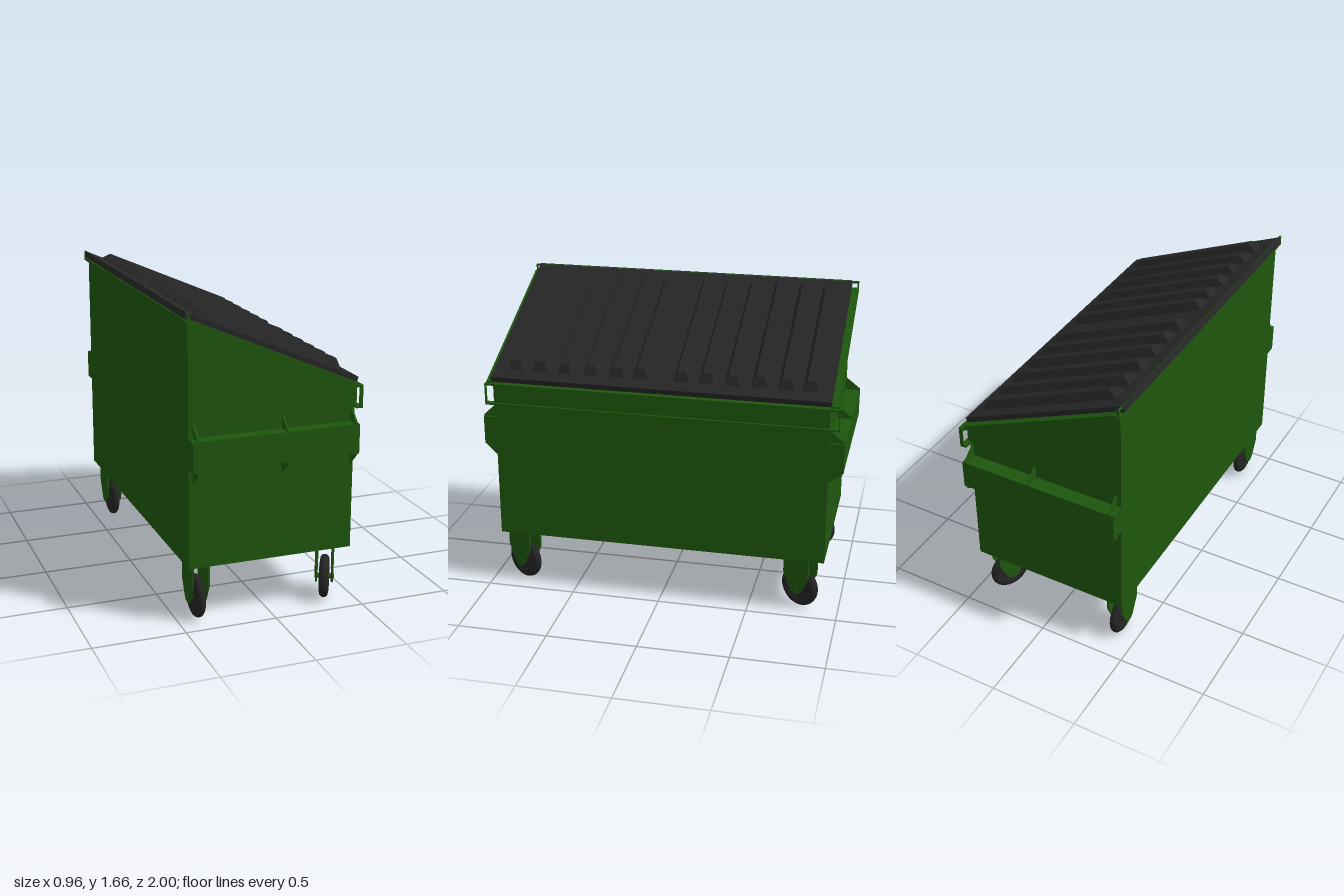
import * as THREE from 'three';

const green = new THREE.MeshStandardMaterial({ color: 0x1e560e, side: THREE.DoubleSide });
const black = new THREE.MeshStandardMaterial({ color: 0x262626 });
const rubber = new THREE.MeshStandardMaterial({ color: 0x232323, side: THREE.DoubleSide });

function add(parent, name, geometry, material, x = 0, y = 0, z = 0) {
  const mesh = new THREE.Mesh(geometry, material);
  mesh.name = name;
  mesh.position.set(x, y, z);
  parent.add(mesh);
  return mesh;
}

const box = (w, h, d) => new THREE.BoxGeometry(w, h, d);

// Flat outline extruded along z
function plate(points, depth) {
  const shape = new THREE.Shape(points.map(([x, y]) => new THREE.Vector2(x, y)));
  return new THREE.ExtrudeGeometry(shape, { depth, bevelEnabled: false });
}

const BACK = -0.46, FRONT = 0.45, Z0 = -0.917, Z1 = 0.93;
const SLOPE = Math.atan2(0.41, 0.94);

// Raised lid rib: a box whose top is drawn in on all four sides
function ribGeometry() {
  const geo = box(1, 1, 1), p = geo.attributes.position;
  for (let i = 0; i < p.count; i++) {
    const top = p.getY(i) > 0, front = p.getX(i) > 0;
    const x = front ? (top ? 0.403 : 0.443) : (top ? -0.393 : -0.43);
    p.setXYZ(i, x, top ? 0.043 : -0.005, Math.sign(p.getZ(i)) * (top ? 0.022 : 0.046));
  }
  geo.computeVertexNormals();
  return geo;
}

function createLids() {
  const lids = new THREE.Group();
  lids.name = 'lids';
  lids.position.set(-0.005, 1.46, 0);
  lids.rotation.z = -SLOPE;
  const rib = ribGeometry();
  const panels = [
    { name: 'rightLid', from: -0.92, to: 0.003, ribs: [-0.805, -0.672, -0.53, -0.385, -0.245, -0.108] },
    { name: 'leftLid', from: 0.008, to: 0.943, ribs: [0.117, 0.25, 0.395, 0.54, 0.68, 0.82] },
  ];
  for (const { name, from, to, ribs } of panels) {
    add(lids, name, box(1.02, 0.034, to - from), black, 0, -0.017, (from + to) / 2);
    for (const z of ribs) add(lids, 'lidRib', rib, black, 0, 0, z);
  }
  return lids;
}

// Rounded tyre with a recessed hub, axis along x
function wheelGeometry(width) {
  const h = width / 2;
  const pts = [[0, -h * 0.9], [0.03, -h * 0.9], [0.035, -h * 0.5], [0.065, -h * 0.5], [0.072, -h * 0.9],
    [0.09, -h], [0.105, -h * 0.85], [0.114, -h * 0.5], [0.117, 0]];
  const mirrored = pts.slice(0, -1).reverse().map(([r, a]) => [r, -a]);
  const profile = pts.concat(mirrored).map(([r, a]) => new THREE.Vector2(r, a));
  return new THREE.LatheGeometry(profile, 32).rotateZ(-Math.PI / 2);
}

function createCaster(name, x, z, turn, width) {
  const caster = new THREE.Group();
  caster.name = name;
  caster.position.set(x, 0, z);
  caster.rotation.y = turn;
  add(caster, 'wheel', wheelGeometry(width), rubber, 0, 0.119, 0);
  // Fork cheek tapering to a rounded foot at the axle
  const cheek = [[-0.083, 0.33], [-0.083, 0.2]];
  for (let i = 0; i <= 8; i++) {
    const a = Math.PI * (1.1 + 0.8 * i / 8);
    cheek.push([0.042 * Math.cos(a), 0.125 + 0.04 * Math.sin(a)]);
  }
  cheek.push([0.083, 0.2], [0.083, 0.33]);
  const cheekGeo = plate(cheek, 0.01).translate(0, 0, -0.005).rotateY(Math.PI / 2);
  for (const side of [-1, 1]) add(caster, 'forkCheek', cheekGeo, green, side * 0.043, 0, 0);
  add(caster, 'forkTop', box(0.096, 0.012, 0.166), green, 0, 0.318, 0);
  add(caster, 'axle', new THREE.CylinderGeometry(0.014, 0.014, 0.105, 12).rotateZ(Math.PI / 2), green, 0, 0.119, 0);
  return caster;
}

// Lifting sleeve with triangular gussets above and below
function createForkPocket(name, side) {
  const pocket = new THREE.Group();
  pocket.name = name;
  const wall = side > 0 ? Z1 : Z0, outer = side * 0.998;
  const depth = Math.abs(outer - wall);
  add(pocket, 'sleeve', box(0.912, 0.16, depth), green, -0.004, 0.94, (wall + outer) / 2);
  for (const x of [-0.432, 0.05, 0.434]) {
    for (const up of [1, -1]) {
      const edge = 0.94 + up * 0.08;
      const tri = plate([[wall, edge], [outer, edge], [outer, edge + up * 0.008], [wall, edge + up * 0.072]], 0.01);
      // Outline runs in z and y, so swing its x axis onto z
      tri.rotateY(-Math.PI / 2);
      add(pocket, 'gusset', tri, green, x + 0.005, 0, 0);
    }
  }
  return pocket;
}

export function createModel() {
  const model = new THREE.Group();
  model.name = 'dumpster';

  // Body with a sloping top
  const body = plate([[BACK, 0.318], [FRONT, 0.318], [FRONT, 1.21], [BACK, 1.61]], Z1 - Z0);
  add(model, 'body', body, green, 0, 0, Z0);

  // Sloping side rims under the lids
  for (const [name, z] of [['leftRim', 0.945], ['rightRim', -0.935]]) {
    const rim = add(model, name, box(0.995, 0.024, 0.05), green, -0.005, 1.417, z);
    rim.rotation.z = -SLOPE;
  }

  // Front lip: a long thin frame that stands out past both ends of the body
  const lip = new THREE.Group();
  lip.name = 'frontLip';
  for (const y of [1.104, 1.216]) add(lip, 'lipRail', box(0.035, 0.01, 1.945), green, 0.458, y, 0.003);
  for (const z of [0.973, -0.967]) add(lip, 'lipEnd', box(0.02, 0.112, 0.006), green, 0.465, 1.16, z);
  add(lip, 'lipFace', box(0.014, 0.11, Z1 - Z0), green, 0.455, 1.16, (Z0 + Z1) / 2);
  model.add(lip);

  // Hinge rod along the high back edge
  const hinge = new THREE.Group();
  hinge.name = 'hinge';
  add(hinge, 'hingeRod', new THREE.CylinderGeometry(0.007, 0.007, 1.925, 10).rotateX(Math.PI / 2), green, -0.468, 1.655, 0.004);
  add(hinge, 'hingeRail', box(0.02, 0.014, 1.925), green, -0.465, 1.613, 0.004);
  for (const z of [0.963, -0.955]) add(hinge, 'hingeEnd', box(0.012, 0.045, 0.008), green, -0.468, 1.635, z);
  model.add(hinge);

  model.add(createLids());
  model.add(createForkPocket('leftForkPocket', 1), createForkPocket('rightForkPocket', -1));

  // Fixed casters at the back, swivelled ones at the front
  for (const [side, z] of [['Left', 0.825], ['Right', -0.78]]) {
    model.add(createCaster('rear' + side + 'Caster', -0.386, z, 0, 0.046));
    model.add(createCaster('front' + side + 'Caster', 0.354, z, -0.49, 0.05));
  }
  return model;
}
